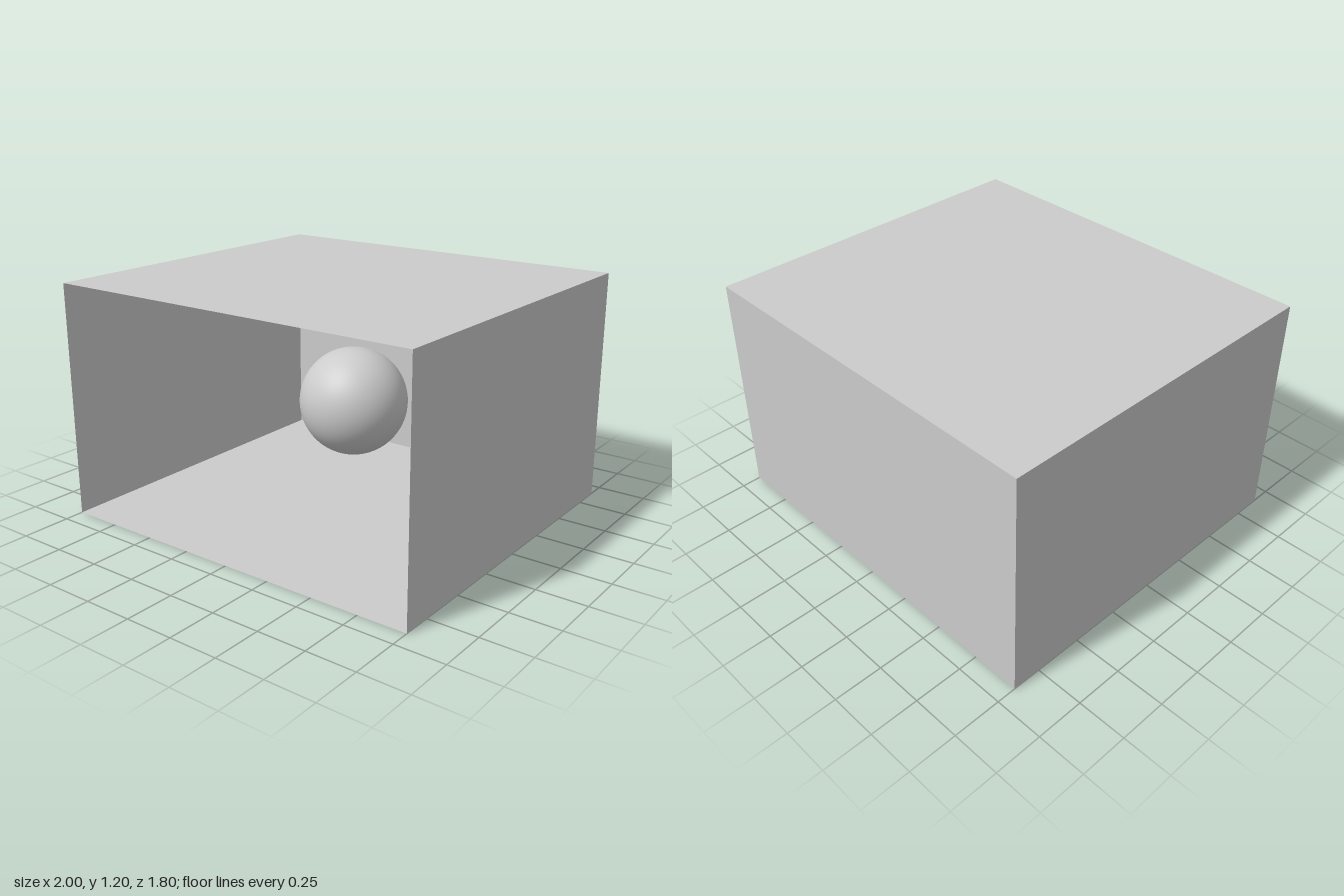
import * as THREE from 'three';

const W = 2, H = 1.2, D = 1.8;

export function createModel() {
  const model = new THREE.Group();
  model.name = 'openBoxWithBall';
  const wallMat = new THREE.MeshStandardMaterial({ color: 0xcccccc, side: THREE.DoubleSide });
  const ballMat = new THREE.MeshStandardMaterial({ color: 0xcccccc });

  // Thin wall panel: size, centre, rotation about x and y
  const panel = (name, w, h, position, rx, ry) => {
    const mesh = new THREE.Mesh(new THREE.PlaneGeometry(w, h), wallMat);
    mesh.name = name;
    mesh.position.set(...position);
    mesh.rotation.set(rx, ry, 0);
    model.add(mesh);
  };

  // Room shell, open at the front, facing inwards
  panel('floor', W, D, [0, 0, 0], -Math.PI / 2, 0);
  panel('ceiling', W, D, [0, H, 0], Math.PI / 2, 0);
  panel('backWall', W, H, [0, H / 2, -D / 2], 0, 0);
  panel('leftWall', D, H, [W / 2, H / 2, 0], 0, -Math.PI / 2);
  panel('rightWall', D, H, [-W / 2, H / 2, 0], 0, Math.PI / 2);

  // Ball floating inside
  const ball = new THREE.Mesh(new THREE.SphereGeometry(0.28, 64, 40), ballMat);
  ball.name = 'ball';
  ball.position.set(0, 0.54, -0.1);
  model.add(ball);

  return model;
}
